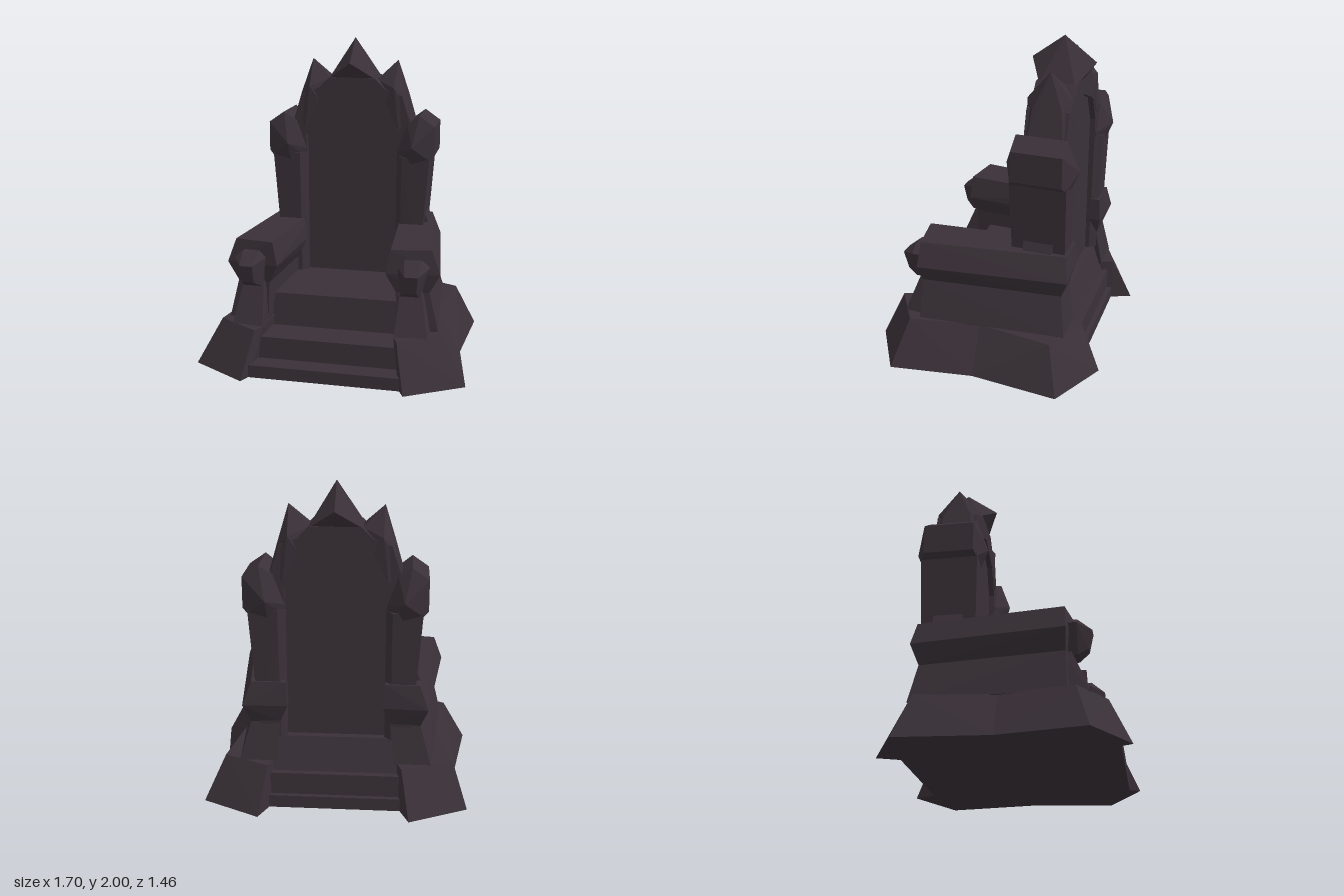
import * as THREE from 'three';
import { ConvexGeometry } from 'three/addons/geometries/ConvexGeometry.js';

export function createModel() {
  const model = new THREE.Group();
  const stone = new THREE.MeshStandardMaterial({ color: 0x3a3138, flatShading: true });
  stone.name = 'darkStone';

  const add = (name, geometry) => {
    const mesh = new THREE.Mesh(geometry, stone);
    mesh.name = name;
    model.add(mesh);
    return mesh;
  };
  // Faceted block around a few corner points
  const block = (name, pts, s = 1) =>
    add(name, new ConvexGeometry(pts.map(([x, y, z]) => new THREE.Vector3(x * s, y, z))));
  const box = (name, w, y0, y1, z0, z1) => {
    const mesh = add(name, new THREE.BoxGeometry(w, y1 - y0, z1 - z0));
    mesh.position.set(0, (y0 + y1) / 2, (z0 + z1) / 2);
  };
  // Points at one height from [x, z] pairs
  const ring = (y, pairs) => pairs.map(([x, z]) => [x, y, z]);
  // Stack of convex slabs between neighbouring rings
  const stack = (name, rings, s) => {
    for (let i = 0; i + 1 < rings.length; i++) block(name, [...rings[i], ...rings[i + 1]], s);
  };
  // Repeats points on the back, mirrored about the middle of the backrest
  const MID = -0.33;
  const bothFaces = (pts) => pts.flatMap(([x, y, z]) => [[x, y, z], [x, y, 2 * MID - z]]);

  // Base, steps and seat
  box('lowerStep', 0.94, 0, 0.08, -0.6, 0.66);
  box('upperStep', 0.9, 0.08, 0.22, -0.57, 0.535);
  block('seat', [
    ...ring(0.22, [[-0.42, 0.32], [0.42, 0.32], [0.42, -0.53], [-0.42, -0.53]]),
    ...ring(0.25, [[-0.42, 0.3], [0.42, 0.3], [0.42, -0.5], [-0.42, -0.5]]),
    ...ring(0.43, [[-0.39, 0.3], [0.39, 0.3], [0.39, -0.47], [-0.39, -0.47]]),
  ]);

  // Backrest panel with pointed top, set back inside the frame
  const panel = new THREE.Shape([
    [-0.33, 0.4], [0.33, 0.4], [0.33, 1.4], [0.24, 1.62], [0, 1.7], [-0.24, 1.62], [-0.33, 1.4],
  ].map(([x, y]) => new THREE.Vector2(x, y)));
  add('backPanel', new THREE.ExtrudeGeometry(panel, { depth: 0.19, bevelEnabled: false }))
    .position.z = MID - 0.095;

  // Arch over the panel
  const half = [[0.30, 1.2], [0.40, 1.2], [0.39, 1.45], [0.33, 1.64], [0.22, 1.68], [0.15, 1.75]];
  const arch = new THREE.Shape([
    ...half, ...half.map(([x, y]) => [-x, y]).reverse(),
    [-0.305, 1.37], [-0.22, 1.545], [0, 1.645], [0.22, 1.545], [0.305, 1.37],
  ].map(([x, y]) => new THREE.Vector2(x, y)));
  add('arch', new THREE.ExtrudeGeometry(arch, { depth: 0.26, bevelEnabled: false }))
    .position.z = MID - 0.13;

  // Middle crown point
  block('middleSpike', bothFaces([
    [0, 2, MID], [0, 1.85, -0.13], [0, 1.75, -0.2],
    [0.155, 1.74, -0.22], [-0.155, 1.74, -0.22],
  ]));

  for (const s of [1, -1]) {
    const side = s > 0 ? 'left' : 'right';

    // Flared plinth, two halves meeting at a pinched middle
    for (const front of [true, false]) {
      block(side + 'Plinth', front ? [
        ...ring(0, [[0.46, 0.64], [0.5, 0.725], [0.85, 0.52], [0.77, 0], [0.4, 0]]),
        ...ring(0.285, [[0.41, 0.53], [0.44, 0.6], [0.7, 0.44], [0.62, 0], [0.38, 0]]),
      ] : [
        ...ring(0, [[0.4, -0.59], [0.46, -0.73], [0.82, -0.55], [0.77, 0], [0.4, 0]]),
        ...ring(0.285, [[0.38, -0.52], [0.41, -0.6], [0.69, -0.47], [0.62, 0], [0.38, 0]]),
      ], s);
    }

    // Armrest: wide foot, waist, swelling and flat top
    stack(side + 'Armrest', [
      ring(0.28, [[0.41, 0.4], [0.665, 0.39], [0.59, -0.53], [0.36, -0.53]]),
      ring(0.53, [[0.4, 0.4], [0.605, 0.38], [0.52, -0.49], [0.34, -0.49]]),
      ring(0.65, [[0.34, 0.43], [0.67, 0.39], [0.565, -0.535], [0.29, -0.52]]),
      ring(0.8, [[0.37, 0.42], [0.615, 0.38], [0.51, -0.51], [0.3, -0.51]]),
    ], s);

    // Sloping front leg under the armrest
    block(side + 'FrontLeg', [
      ...ring(0.28, [[0.41, 0.53], [0.61, 0.51], [0.62, 0.35], [0.41, 0.35]]),
      ...ring(0.54, [[0.43, 0.42], [0.56, 0.41], [0.57, 0.35], [0.42, 0.35]]),
    ], s);

    // Faceted knob on the armrest front
    const rim = [[0.1, 0.06], [0.05, 0.1], [-0.05, 0.1], [-0.09, 0.06], [-0.07, -0.12], [0.05, -0.12]];
    block(side + 'Knob', [
      ...rim.map(([x, y]) => [0.505 + x, 0.64 + y, 0.39]),
      ...rim.map(([x, y]) => [0.505 + x, 0.64 + y, 0.445]),
      [0.55, 0.67, 0.53], [0.47, 0.67, 0.53], [0.54, 0.56, 0.505], [0.47, 0.56, 0.505],
    ], s);

    // Back column, leaning outwards
    block(side + 'Column', bothFaces([
      ...ring(0.43, [[0.3, -0.21], [0.335, -0.17], [0.46, -0.17]]),
      ...ring(1.25, [[0.3, -0.2], [0.34, -0.15], [0.52, -0.155]]),
    ]), s);
    block(side + 'ColumnFoot', bothFaces([
      ...ring(0.78, [[0.4, -0.24], [0.52, -0.24]]),
      ...ring(0.9, [[0.4, -0.24], [0.475, -0.24]]),
    ]), s);

    // Column cap with a ridged top
    block(side + 'ColumnCap', bothFaces([
      [0.305, 1.22, -0.2], [0.4, 1.2, -0.155], [0.52, 1.23, -0.16],
      [0.305, 1.28, -0.19], [0.41, 1.32, -0.105], [0.55, 1.26, -0.175],
      [0.37, 1.46, -0.19], [0.45, 1.52, -0.175], [0.55, 1.45, -0.175],
    ]), s);

    // Outer crown point
    block(side + 'SideSpike', bothFaces([
      [0.285, 1.86, MID], [0.155, 1.735, -0.27], [0.28, 1.69, -0.19],
      [0.345, 1.64, -0.24], [0.395, 1.46, -0.22], [0.31, 1.42, -0.195],
      [0.22, 1.6, -0.2],
    ]), s);
  }
  return model;
}
